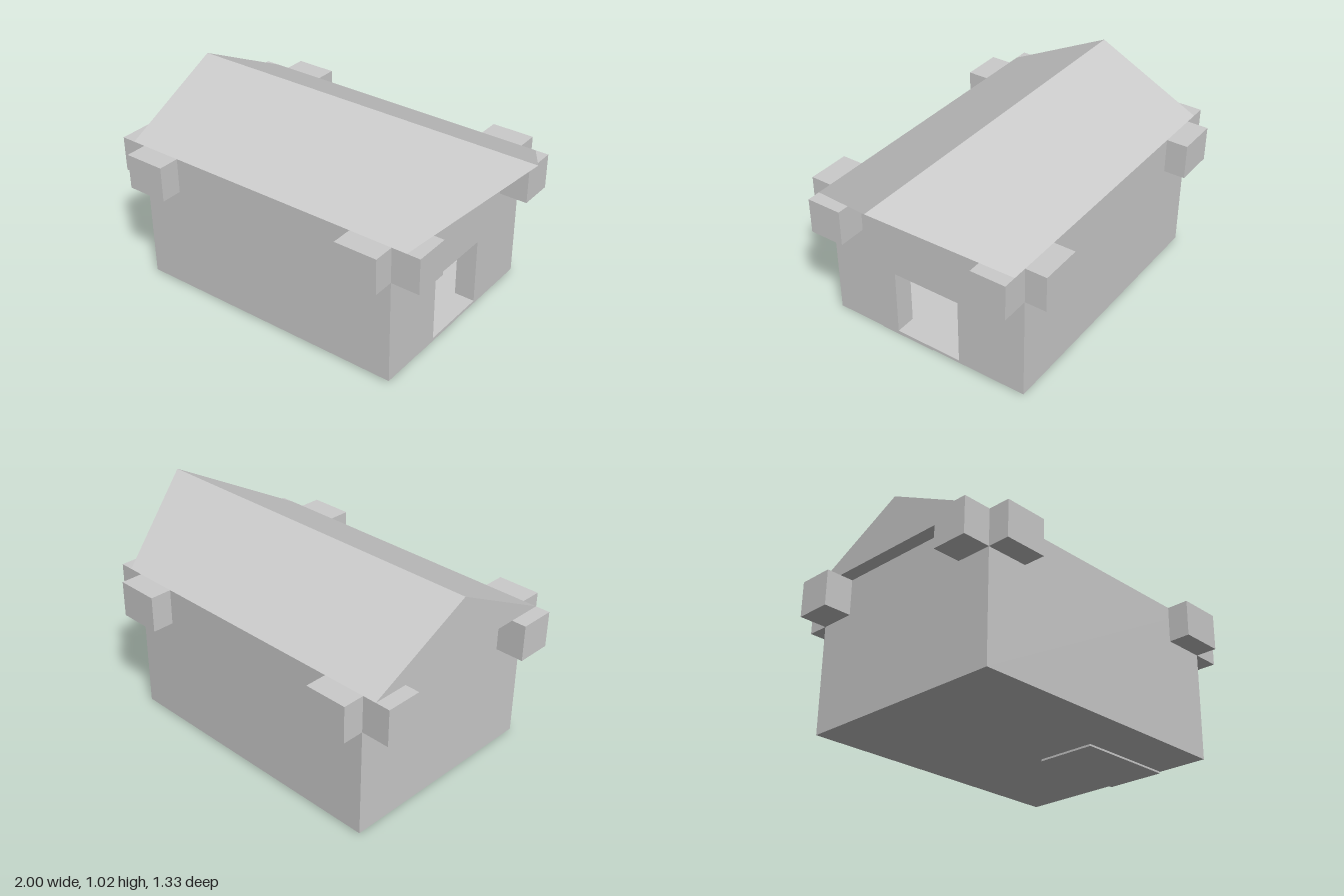
import * as THREE from 'three';

const material = new THREE.MeshStandardMaterial({ color: 0xcccccc, flatShading: true });

export function createModel() {
  const house = new THREE.Group();
  house.name = 'house';

  const add = (name, geometry) => {
    const mesh = new THREE.Mesh(geometry, material);
    mesh.name = name;
    house.add(mesh);
    return mesh;
  };
  // box given by its minimum and maximum corners
  const box = (name, x0, x1, y0, y1, z0, z1) =>
    add(name, new THREE.BoxGeometry(x1 - x0, y1 - y0, z1 - z0))
      .position.set((x0 + x1) / 2, (y0 + y1) / 2, (z0 + z1) / 2);

  const L = -0.855, R = 0.627, W = 0.555, T = 0.11; // wall ends, half depth, thickness
  const base = 0.01, top = 0.75, beam = 0.565;

  // hollow body
  box('floor', L + T, R - T, base, 0.025, -W + T, W - T);
  box('ceiling', L + T, R - T, beam, top, -W + T, W - T);
  box('frontWall', L, R - T, base, top, W - T, W);
  box('backWall', L, R - T, base, top, -W, -W + T);
  box('endWall', L, L + T, base, top, -W + T, W - T);

  // door wall: the doorway is cut in from the bottom edge; shape x runs along -z
  const wall = new THREE.Shape([
    [-W, base], [-0.187, base], [-0.187, 0.38], [0.183, 0.38],
    [0.183, base], [W, base], [W, top], [-W, top],
  ].map(([x, y]) => new THREE.Vector2(x, y)));
  const doorWall = add('doorWall', new THREE.ExtrudeGeometry(wall, { depth: T, bevelEnabled: false }));
  doorWall.rotation.y = Math.PI / 2;
  doorWall.position.x = R - T;
  box('doorSill', R - T, R, base, 0.025, -0.183, 0.187);
  box('footing', 0.09, R - 0.005, 0, base, -0.02, 0.29);

  // gable roof, its ridge leaning out over the door
  const gable = new THREE.Shape([[-W, 0], [W, 0], [0, 0.275]].map(([x, y]) => new THREE.Vector2(x, y)));
  const roof = new THREE.ExtrudeGeometry(gable, { depth: 1.63, bevelEnabled: false });
  roof.rotateY(Math.PI / 2).translate(-0.925, top, 0);
  const p = roof.attributes.position;
  for (let i = 0; i < p.count; i++) {
    if (p.getX(i) > 0 && p.getY(i) > top + 0.1) p.setX(i, 1);
  }
  roof.computeVertexNormals();
  add('roof', roof);

  // beam ends sticking out on both faces of each corner
  for (const s of [1, -1]) {
    const [z0, z1] = s > 0 ? [W, 0.667] : [-0.667, -W];
    box('beamEnd', L, -0.635, beam, top, z0, z1);
    box('beamEnd', 0.402, R, beam, top, z0, z1);
    const [a, b] = s > 0 ? [0.37, W] : [-W, -0.37];
    box('beamEnd', -1, L, beam, top, a, b);
    box('beamEnd', R, 0.775, beam, top, a, b);
  }
  return house;
}
